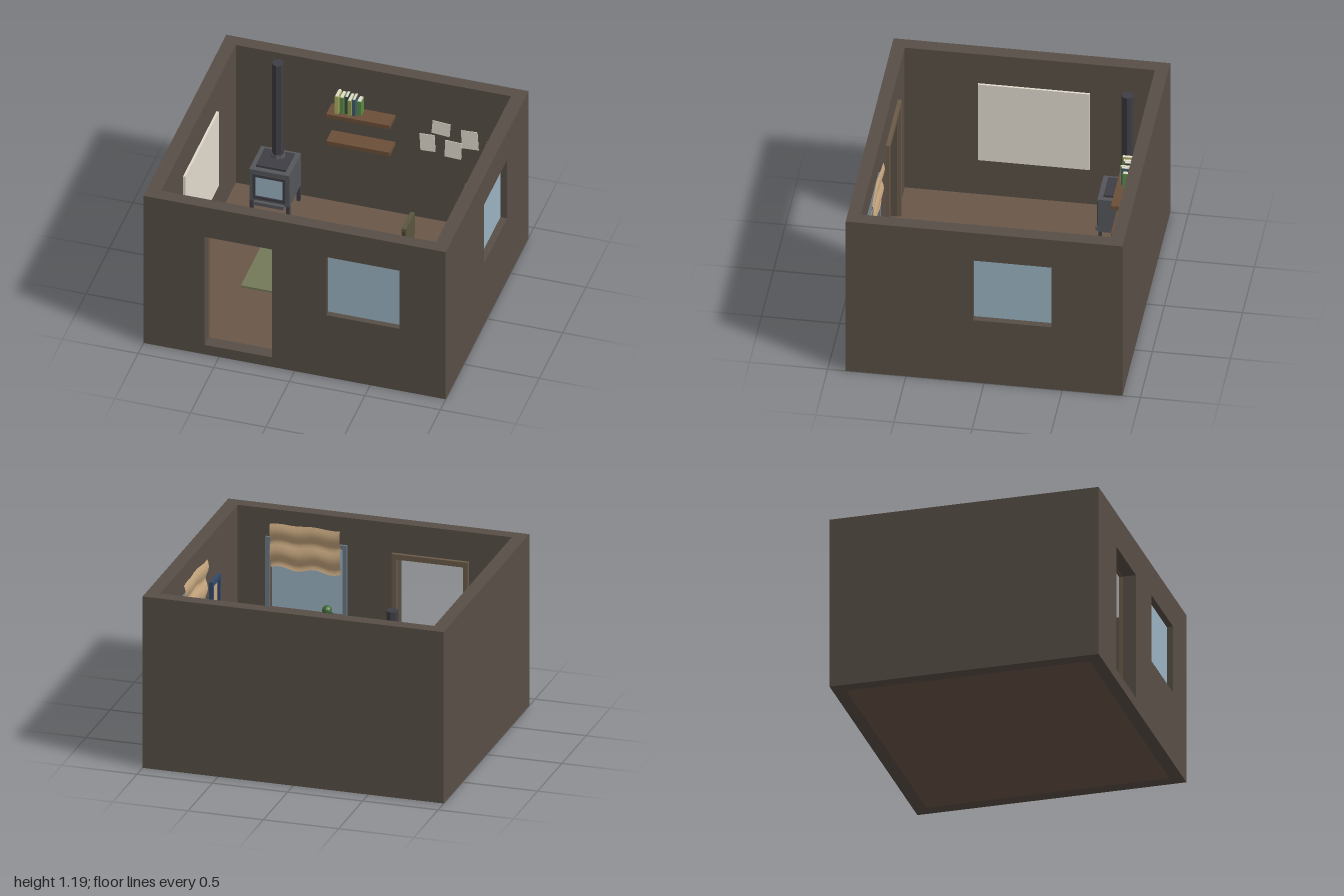
import * as THREE from 'three';

const C = {
  wall: 0x584f46, floor: 0x6a5748, wood: 0x6b4f38, darkWood: 0x56432f, trim: 0x6a5a48,
  glass: 0x9bb4c2, frame: 0x6d7a82, cloth: 0xc8a880, iron: 0x55565a, darkIron: 0x3e3e44,
  white: 0xe2dbce, green: 0x75795a, olive: 0x5a563f, red: 0xa01818, darkRed: 0x701010,
  blue: 0x34496a, grey: 0x85817c,
};
const mat = (color, extra = {}) => new THREE.MeshStandardMaterial({ color, flatShading: true, ...extra });

function add(parent, name, geometry, color, x = 0, y = 0, z = 0, extra) {
  const m = new THREE.Mesh(geometry, mat(color, extra));
  m.name = name;
  m.position.set(x, y, z);
  parent.add(m);
  return m;
}
// box given by its limits
function box(parent, name, x0, x1, y0, y1, z0, z1, color) {
  return add(parent, name, new THREE.BoxGeometry(x1 - x0, y1 - y0, z1 - z0), color,
    (x0 + x1) / 2, (y0 + y1) / 2, (z0 + z1) / 2);
}
function group(parent, name, x = 0, y = 0, z = 0, turn = 0) {
  const g = new THREE.Group();
  g.name = name;
  g.position.set(x, y, z);
  g.rotation.y = turn;
  parent.add(g);
  return g;
}
// upright panel with rectangular openings; rectangles are [x0, x1, y0, y1]
function panel([x0, x1, y0, y1], holes, depth) {
  const ring = (a, b, c, d) => [[a, c], [b, c], [b, d], [a, d]].map(p => new THREE.Vector2(...p));
  const s = new THREE.Shape(ring(x0, x1, y0, y1));
  for (const h of holes) s.holes.push(new THREE.Path(ring(...h).reverse()));
  return new THREE.ExtrudeGeometry(s, { depth, bevelEnabled: false });
}

// gathered fabric shade: two folds that swell toward the bottom, with a wavy hem
function shadeGeometry(w, h) {
  const g = new THREE.PlaneGeometry(w, h, 12, 16);
  const p = g.attributes.position;
  for (let i = 0; i < p.count; i++) {
    const u = p.getX(i) / w, v = 0.5 - p.getY(i) / h;
    const fold = Math.abs(Math.sin(v * Math.PI * 2 + 0.5));
    p.setZ(i, 0.01 + 0.022 * fold + 0.012 * Math.abs(u) * 2 * (1 - v));
    p.setY(i, p.getY(i) + 0.012 * Math.sin(u * Math.PI * 4) * (0.3 + 0.7 * v));
  }
  g.computeVertexNormals();
  return g;
}
// window centred on the inner wall face, +z into the room
function windowUnit(parent, name, x, y, z, turn, w, h) {
  const g = group(parent, name, x, y, z, turn);
  const a = w / 2, b = h / 2, t = 0.028;
  add(g, 'windowGlass', new THREE.BoxGeometry(w, h, 0.01), C.glass, 0, 0, -0.04);
  add(g, 'windowFrame', panel([-a - t, a + t, -b - t, b + t], [[-a, a, -b, b]], 0.025), C.frame, 0, 0, -0.01);
  add(g, 'windowShade', shadeGeometry(w - 0.02, 0.3), C.cloth, 0, 0.21, 0.004, { side: THREE.DoubleSide, flatShading: false });
}

function buildShell(room) {
  const g = group(room, 'shell'), H = 1.165, F = 0.075;
  box(g, 'floor', -0.91, 0.91, 0, F, -0.8, 0.8, C.floor);
  box(g, 'backWall', -0.91, 0.91, 0, H, -0.885, -0.8, C.wall);
  box(g, 'rightWall', -1, -0.91, 0, H, -0.885, 0.885, C.wall);
  add(g, 'frontWall', panel([-0.91, 0.91, 0, H], [[-0.595, -0.15, F, 0.93], [0.21, 0.695, 0.49, 0.95]], 0.085), C.wall, 0, 0, 0.8);
  add(g, 'leftWall', panel([-0.885, 0.885, 0, H], [[-0.07, 0.43, 0.485, 0.95]], 0.09), C.wall, 0.91).rotation.y = Math.PI / 2;
  windowUnit(g, 'frontWindow', 0.4525, 0.72, 0.8, Math.PI, 0.485, 0.46);
  windowUnit(g, 'sideWindow', 0.91, 0.7175, -0.18, -Math.PI / 2, 0.5, 0.465);
  // door casing on the inside
  for (const x of [-0.625, -0.15]) box(g, 'doorCasing', x, x + 0.03, F, 0.93, 0.775, 0.8, C.trim);
  box(g, 'doorCasing', -0.625, -0.12, 0.93, 0.965, 0.775, 0.8, C.trim);
  box(g, 'windowSill', 0.175, 0.725, 0.415, 0.463, 0.685, 0.8, C.grey);
  box(g, 'rug', -0.555, 0.25, F, 0.09, -0.35, 0.24, C.green);
}

function buildStove(room) {
  const g = group(room, 'stove', -0.597, 0, -0.63);
  box(g, 'stoveBody', -0.132, 0.132, 0.19, 0.42, -0.125, 0.125, C.iron);
  box(g, 'stoveTop', -0.132, 0.132, 0.42, 0.44, -0.125, 0.13, C.iron);
  box(g, 'stovePlate', -0.098, 0.098, 0.44, 0.455, -0.09, 0.095, C.darkIron);
  for (const sx of [-1, 1]) for (const sz of [-1, 1])
    add(g, 'stoveLeg', new THREE.BoxGeometry(0.022, 0.12, 0.022), C.darkIron, sx * 0.12, 0.135, sz * 0.113);
  add(g, 'stoveDoor', panel([-0.108, 0.108, 0.22, 0.41], [[-0.09, 0.09, 0.24, 0.39]], 0.012), C.darkIron, 0, 0, 0.125);
  box(g, 'stoveGlass', -0.09, 0.09, 0.24, 0.39, 0.12, 0.129, C.glass);
  box(g, 'ashLip', -0.098, 0.098, 0.175, 0.2, 0.11, 0.147, C.iron);
  add(g, 'pipeCollar', new THREE.CylinderGeometry(0.045, 0.05, 0.025, 8), C.iron, 0.005, 0.465, -0.045);
  add(g, 'stovePipe', new THREE.CylinderGeometry(0.04, 0.04, 0.735, 8), C.darkIron, 0.005, 0.8175, -0.045);
}

function buildWallItems(room) {
  for (const y of [0.605, 0.818]) box(room, 'shelf', -0.275, 0.145, y, y + 0.028, -0.8, -0.68, C.wood);
  // books: [x, width, height, depth, cover]
  const books = [[-0.225, 0.024, 0.135, 0.075, 0xa9ad62], [-0.196, 0.026, 0.125, 0.065, 0x5c8a45],
    [-0.166, 0.022, 0.13, 0.055, 0x36483c], [-0.14, 0.022, 0.12, 0.075, 0x8f9a52],
    [-0.113, 0.02, 0.125, 0.065, 0x3f5a66], [-0.085, 0.028, 0.11, 0.052, 0x5c8a45]];
  for (const [x, w, h, d, color] of books) {
    box(room, 'bookCover', x, x + w, 0.846, 0.846 + h, -0.78, -0.775 + d, color);
    box(room, 'bookPages', x + 0.003, x + w - 0.003, 0.85, 0.849 + h, -0.782, -0.779 + d, C.white);
  }
  box(room, 'wallBoard', -0.912, -0.895, 0.35, 0.94, -0.385, 0.33, C.white);
  // pinned sheets on the back wall: [x, y, width, height, tilt]
  for (const [x, y, w, h, tilt] of [[0.36, 0.68, 0.1, 0.13, 0.05], [0.45, 0.81, 0.12, 0.1, -0.08],
    [0.53, 0.66, 0.11, 0.13, -0.04], [0.64, 0.76, 0.11, 0.14, 0.06]])
    add(room, 'pinnedSheet', new THREE.BoxGeometry(w, h, 0.004), C.white, x, y, -0.794).rotation.z = tilt;
  // picture on the left wall
  const pic = group(room, 'picture', 0.912, 0.735, 0.295, -Math.PI / 2);
  add(pic, 'pictureFrame', panel([-0.085, 0.085, -0.125, 0.125], [[-0.058, 0.058, -0.098, 0.098]], 0.027), C.blue);
  add(pic, 'pictureMount', new THREE.BoxGeometry(0.12, 0.2, 0.012), C.grey, 0, 0, 0.006);
  add(pic, 'pictureImage', new THREE.BoxGeometry(0.075, 0.14, 0.006), C.cloth, 0, 0, 0.013);
  // potted plant on the sill
  add(room, 'plantPot', new THREE.CylinderGeometry(0.044, 0.036, 0.065, 4).rotateY(Math.PI / 4), 0x1f4240, 0.292, 0.495, 0.72);
  add(room, 'plantLeaves', new THREE.IcosahedronGeometry(0.032, 1), 0x3f6b35, 0.292, 0.555, 0.72);
}

function buildDesk(room) {
  const g = group(room, 'desk'), T = 0.4;
  box(g, 'deskTop', 0.63, 0.91, T - 0.025, T, -0.53, 0.16, C.wood);
  for (const x of [0.645, 0.865]) for (const z of [-0.515, 0.115])
    box(g, 'deskLeg', x, x + 0.03, 0.075, T - 0.025, z, z + 0.03, C.darkWood);
  box(g, 'deskApron', 0.64, 0.9, T - 0.085, T - 0.025, -0.5, 0.13, C.darkWood);
  // drawer fronts with knobs
  for (const z of [-0.4, -0.18]) {
    box(g, 'drawerFront', 0.622, 0.64, T - 0.08, T - 0.03, z, z + 0.21, C.wood);
    box(g, 'drawerKnob', 0.61, 0.622, T - 0.062, T - 0.048, z + 0.09, z + 0.12, C.darkIron);
  }
  box(g, 'paper', 0.69, 0.84, T, T + 0.006, -0.24, -0.12, C.white);
  add(g, 'notebook', new THREE.BoxGeometry(0.125, 0.02, 0.08), 0x6f767c, 0.763, T + 0.01, -0.39).rotation.y = 0.25;
  add(g, 'cup', new THREE.CylinderGeometry(0.02, 0.017, 0.05, 12), 0x9ba2c8, 0.837, T + 0.025, -0.065);
  // telephone
  const t = group(g, 'telephone', 0.752, T, 0.06, -0.15);
  add(t, 'phoneBase', new THREE.BoxGeometry(0.14, 0.035, 0.115), C.red, 0, 0.0175, 0);
  add(t, 'phoneHandset', new THREE.BoxGeometry(0.1, 0.016, 0.03), C.darkRed, 0, 0.06, -0.033);
  for (const s of [-1, 1]) add(t, 'phoneEarpiece', new THREE.BoxGeometry(0.03, 0.02, 0.038), C.darkRed, s * 0.038, 0.045, -0.033);
  for (let i = 0; i < 9; i++)
    add(t, 'phoneKey', new THREE.BoxGeometry(0.012, 0.006, 0.01), C.white, (i % 3 - 1) * 0.018, 0.037, 0.005 + Math.floor(i / 3) * 0.016);
}

function buildChair(room) {
  const g = group(room, 'chair', 0.508, 0, -0.177);
  box(g, 'chairSeat', -0.103, 0.1, 0.25, 0.285, -0.102, 0.102, C.olive);
  box(g, 'chairBack', -0.1, -0.07, 0.35, 0.52, -0.095, 0.095, C.olive);
  for (const z of [-0.088, 0.088]) {
    for (const x of [-0.085, 0.085]) box(g, 'chairLeg', x - 0.01, x + 0.01, 0.075, 0.25, z - 0.01, z + 0.01, C.darkWood);
    box(g, 'chairPost', -0.095, -0.077, 0.285, 0.5, z - 0.009, z + 0.009, C.darkWood);
  }
}

function buildBin(room) {
  // open, tapered square bin
  const profile = [[0, 0], [0.078, 0], [0.1, 0.19], [0.084, 0.19], [0.064, 0.015], [0, 0.015]].map(p => new THREE.Vector2(...p));
  add(room, 'wasteBin', new THREE.LatheGeometry(profile, 4), C.grey, 0.74, 0.075, 0.35, { side: THREE.DoubleSide })
    .rotation.y = Math.PI / 4 - 0.2;
}

export function createModel() {
  const room = new THREE.Group();
  room.name = 'room';
  for (const build of [buildShell, buildStove, buildWallItems, buildDesk, buildChair, buildBin]) build(room);
  return room;
}
